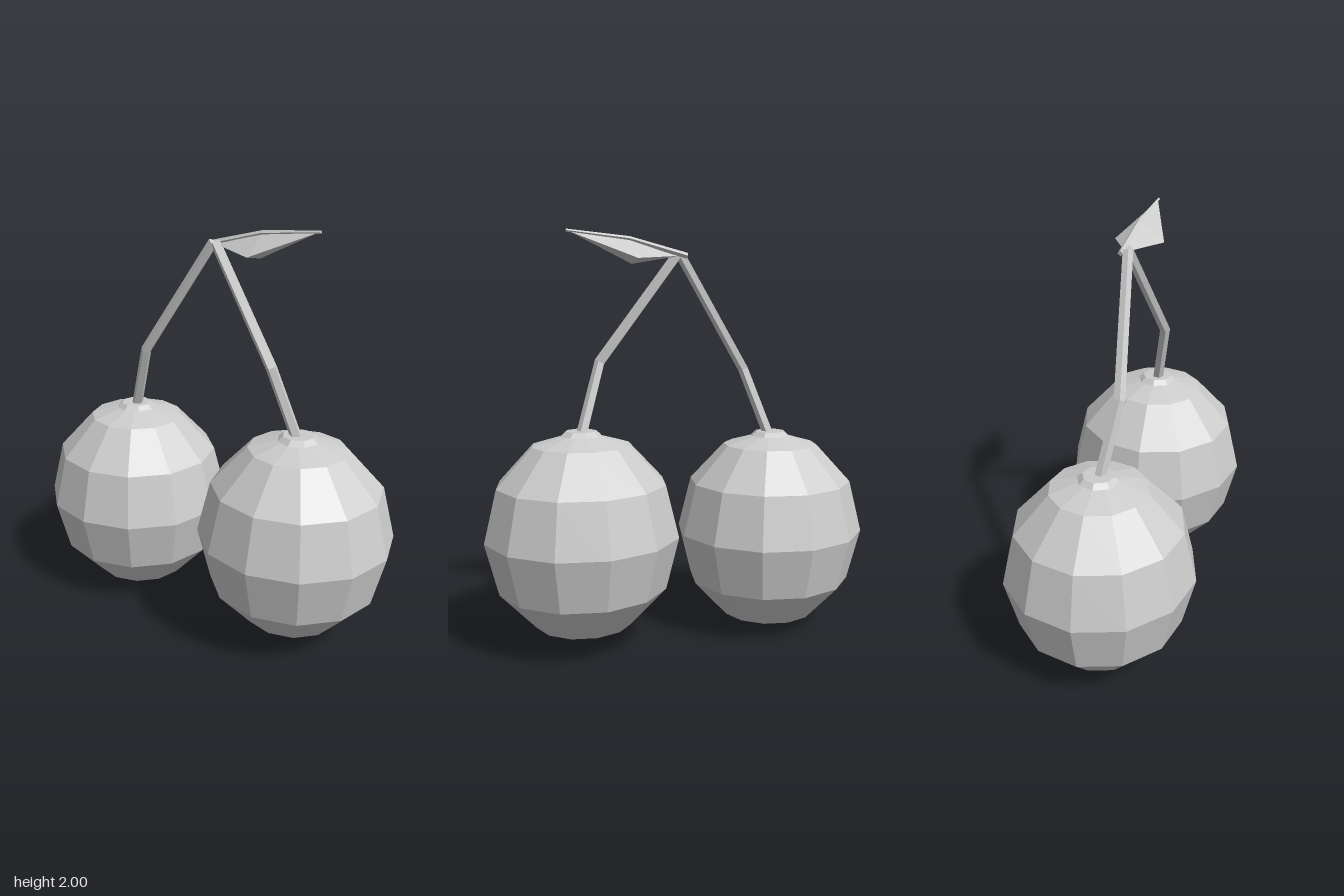
import * as THREE from 'three';

const V = (x, y, z) => new THREE.Vector3(x, y, z);

function facesToGeometry(points, faces) {
  const g = new THREE.BufferGeometry();
  g.setAttribute('position', new THREE.Float32BufferAttribute(points.flatMap(p => p.toArray()), 3));
  g.setIndex(faces.flat());
  const flat = g.toNonIndexed();
  flat.computeVertexNormals();
  return flat;
}

// Closed faceted rod along a bent path, mitred at the bends
function rod(path, radii, sides) {
  const points = [], faces = [];
  const n = path.length;
  path.forEach((p, i) => {
    const t = path[Math.min(i + 1, n - 1)].clone().sub(path[Math.max(i - 1, 0)]).normalize();
    const u = V(0, 0, 1).addScaledVector(t, -t.z).normalize();
    const w = t.clone().cross(u);
    for (let k = 0; k < sides; k++) {
      const a = (k / sides) * Math.PI * 2;
      points.push(p.clone().addScaledVector(u, Math.cos(a) * radii[i]).addScaledVector(w, Math.sin(a) * radii[i]));
    }
  });
  for (let i = 0; i < n - 1; i++) {
    for (let k = 0; k < sides; k++) {
      const a = i * sides + k, b = i * sides + (k + 1) % sides;
      faces.push([a, b, b + sides], [a, b + sides, a + sides]);
    }
  }
  const top = (n - 1) * sides;
  for (let k = 1; k < sides - 1; k++) faces.push([0, k + 1, k], [top, top + k, top + k + 1]);
  return facesToGeometry(points, faces);
}

export function createModel() {
  const model = new THREE.Group();
  const grey = new THREE.MeshStandardMaterial({ color: 0xcccccc, flatShading: true });
  grey.name = 'light grey';

  function add(name, geometry, parent = model) {
    const mesh = new THREE.Mesh(geometry, grey);
    mesh.name = name;
    parent.add(mesh);
    return mesh;
  }

  // Two fruits, each with a small collar where the stem enters
  const fruits = [
    { side: 'right', x: -0.495, y: 0.51, z: -0.03, bend: V(-0.37, 1.335, 0.035) },
    { side: 'left', x: 0.487, y: 0.56, z: 0.02, bend: V(0.37, 1.385, 0.08) },
  ];
  for (const f of fruits) {
    const fruit = new THREE.Group();
    fruit.name = f.side + 'Cherry';
    fruit.position.set(f.x, f.y, f.z);
    model.add(fruit);
    add(f.side + 'Fruit', new THREE.SphereGeometry(1, 12, 6).scale(0.474, 0.51, 0.46), fruit);
    add(f.side + 'Collar', new THREE.CylinderGeometry(0.075, 0.1, 0.022, 8), fruit).position.y = 0.496;

    // Bent stem rising to the shared joint
    const path = [V(f.x, f.y + 0.47, f.z), f.bend, V(Math.sign(f.x) * 0.005, 1.895, -0.018)];
    add(f.side + 'Stem', rod(path, [0.028, 0.027, 0.025], 5));
  }

  // Leaf: base, tip, ridge, back edge, front edge, keel
  const leafPoints = [
    V(0.0, 1.885, -0.03), V(0.53, 1.988, 0.0), V(0.25, 1.955, -0.025),
    V(0.25, 1.868, -0.145), V(0.24, 1.868, 0.095), V(0.24, 1.845, -0.025),
  ];
  add('leafBlade', facesToGeometry(leafPoints, [
    [0, 4, 2], [4, 1, 2], [0, 2, 3], [2, 1, 3],
    [0, 5, 4], [5, 1, 4], [0, 3, 5], [3, 1, 5],
  ]));

  // Raised midrib along the ridge
  add('leafMidrib', rod(
    [V(-0.03, 1.885, -0.045), V(0.25, 1.96, -0.025), V(0.545, 1.992, 0.0)],
    [0.014, 0.011, 0.007], 4));

  return model;
}
